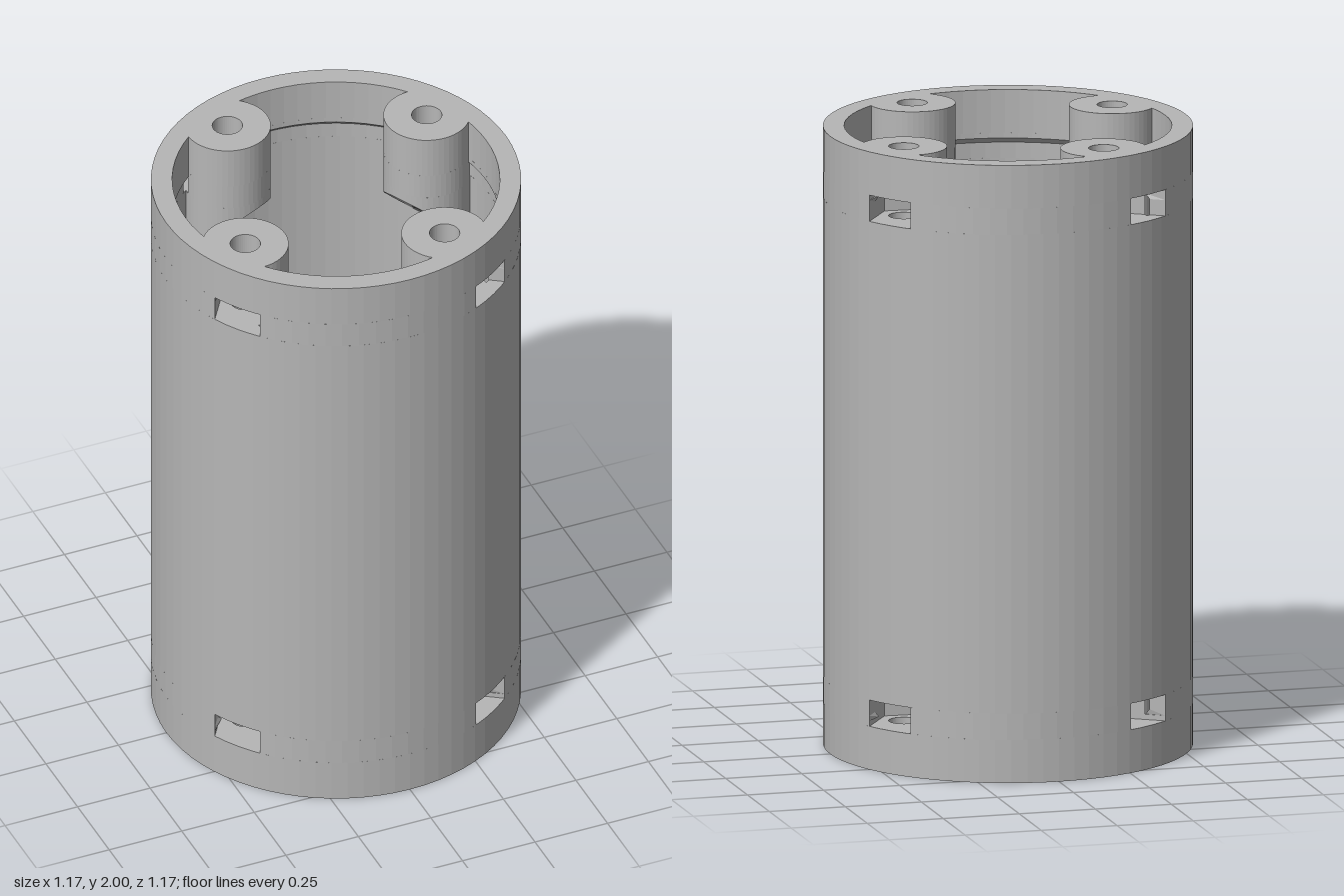
import * as THREE from 'three';

const OUTER = 0.585, INNER = 0.518, WIDE = 0.535;   // shell radii
const BOSS_R = 0.137, HOLE_R = 0.048, BOSS_AT = Math.hypot(0.4, 0.2);
const SLOT_HALF = 0.078, SLOT_LOW = 1.775, SLOT_HIGH = 1.86;
const LEDGE = 1.843, TAU = Math.PI * 2;
const bossAngle = k => Math.atan2(0.2, 0.4) + k * Math.PI / 2;
const slotAngle = k => bossAngle(k) + Math.PI / 6;    // slots are turned 30 degrees off radial

export function createModel() {
  const model = new THREE.Group();
  const grey = new THREE.MeshStandardMaterial({ color: 0xb6b6b6 });
  grey.name = 'grey plastic';

  // Upright prism over a plan shape; low and high give the end heights at (x, z)
  function prism(name, shape, low, high, curveSegments, shift) {
    const geo = new THREE.ExtrudeGeometry(shape, { depth: 1, bevelEnabled: false, curveSegments });
    geo.rotateX(-Math.PI / 2);
    const pos = geo.attributes.position;
    for (let i = 0; i < pos.count; i++) {
      let x = pos.getX(i), z = pos.getZ(i);
      const t = pos.getY(i) > 0.5 ? 1 : 0;
      const y = t ? high(x, z) : low(x, z);
      const s = shift ? shift(Math.hypot(x, z), t) : 1;
      pos.setXYZ(i, x * s, y, z * s);
    }
    geo.computeVertexNormals();
    const mesh = new THREE.Mesh(geo, grey);
    mesh.name = name;
    model.add(mesh);
  }

  // Same prism at the top end or reflected to the bottom end
  function endPrism(name, shape, low, high, top, segments, shift) {
    if (top) prism('upper' + name, shape, low, high, segments, shift);
    else prism('lower' + name, shape, (x, z) => 2 - high(x, z), (x, z) => 2 - low(x, z), segments,
      shift && ((r, t) => shift(r, 1 - t)));
  }
  const at = y => () => y;

  function ring(cx, cy, outer, inner) {
    const shape = new THREE.Shape().absarc(cx, cy, outer, 0, TAU, false);
    shape.holes.push(new THREE.Path().absarc(cx, cy, inner, 0, TAU, true));
    return shape;
  }

  // Shell wall between one slot and the next
  function sector(k, inner) {
    const edge = (n, r, v) => slotAngle(n) + Math.asin((v - BOSS_AT / 2) / r);
    const a = edge(k, OUTER, SLOT_HALF), b = edge(k + 1, OUTER, -SLOT_HALF);
    const c = edge(k, inner, SLOT_HALF), d = edge(k + 1, inner, -SLOT_HALF);
    const shape = new THREE.Shape();
    shape.moveTo(OUTER * Math.cos(a), OUTER * Math.sin(a));
    shape.absarc(0, 0, OUTER, a, b, false);
    shape.absarc(0, 0, inner, d, c, true);
    shape.closePath();
    return shape;
  }

  // Boss section opened by a nut pocket with a hexagonal end
  function pocketBoss(k, cx, cy) {
    const dir = slotAngle(k), open = Math.asin(SLOT_HALF / BOSS_R);
    const p = (u, v) => [cx + u * Math.cos(dir) - v * Math.sin(dir), cy + u * Math.sin(dir) + v * Math.cos(dir)];
    const shape = new THREE.Shape();
    shape.moveTo(...p(BOSS_R * Math.cos(open), SLOT_HALF));
    shape.absarc(cx, cy, BOSS_R, dir + open, dir - open + TAU, false);
    shape.lineTo(...p(-0.045, -SLOT_HALF));
    shape.lineTo(...p(-0.09, 0));
    shape.lineTo(...p(-0.045, SLOT_HALF));
    shape.closePath();
    return shape;
  }

  // Thin-walled middle of the tube
  prism('tubeWall', ring(0, 0, OUTER, WIDE), at(2 - SLOT_LOW), at(SLOT_LOW), 36);

  for (const top of [true, false]) {
    // Thicker end collar
    endPrism('Collar', ring(0, 0, OUTER, INNER), at(SLOT_HIGH), at(2), top, 36);

    for (let k = 0; k < 4; k++) {
      // Slotted band, with the sloped step from thick to thin wall
      const step = LEDGE - (WIDE - INNER);
      endPrism('SlotBandThick', sector(k, INNER), at(LEDGE), at(SLOT_HIGH), top, 7);
      endPrism('SlotBandStep', sector(k, WIDE), at(step), at(LEDGE), top, 7,
        (r, t) => (t && r < 0.56 ? INNER / WIDE : 1));
      endPrism('SlotBandThin', sector(k, WIDE), at(SLOT_LOW), at(step), top, 7);

      // Screw boss: drilled head, nut pocket, then a foot cut at 45 degrees
      const a = bossAngle(k), cx = BOSS_AT * Math.cos(a), cy = BOSS_AT * Math.sin(a);
      const drilled = ring(cx, cy, BOSS_R, HOLE_R);
      const slope = (x, z) => 1.61 + BOSS_AT - (x * Math.cos(a) - z * Math.sin(a));
      endPrism('BossHead', drilled, at(SLOT_HIGH), at(2), top, 24);
      endPrism('BossNutPocket', pocketBoss(k, cx, cy), at(SLOT_LOW), at(SLOT_HIGH), top, 20);
      endPrism('BossFoot', drilled, slope, at(SLOT_LOW), top, 24);
    }
  }
  return model;
}
